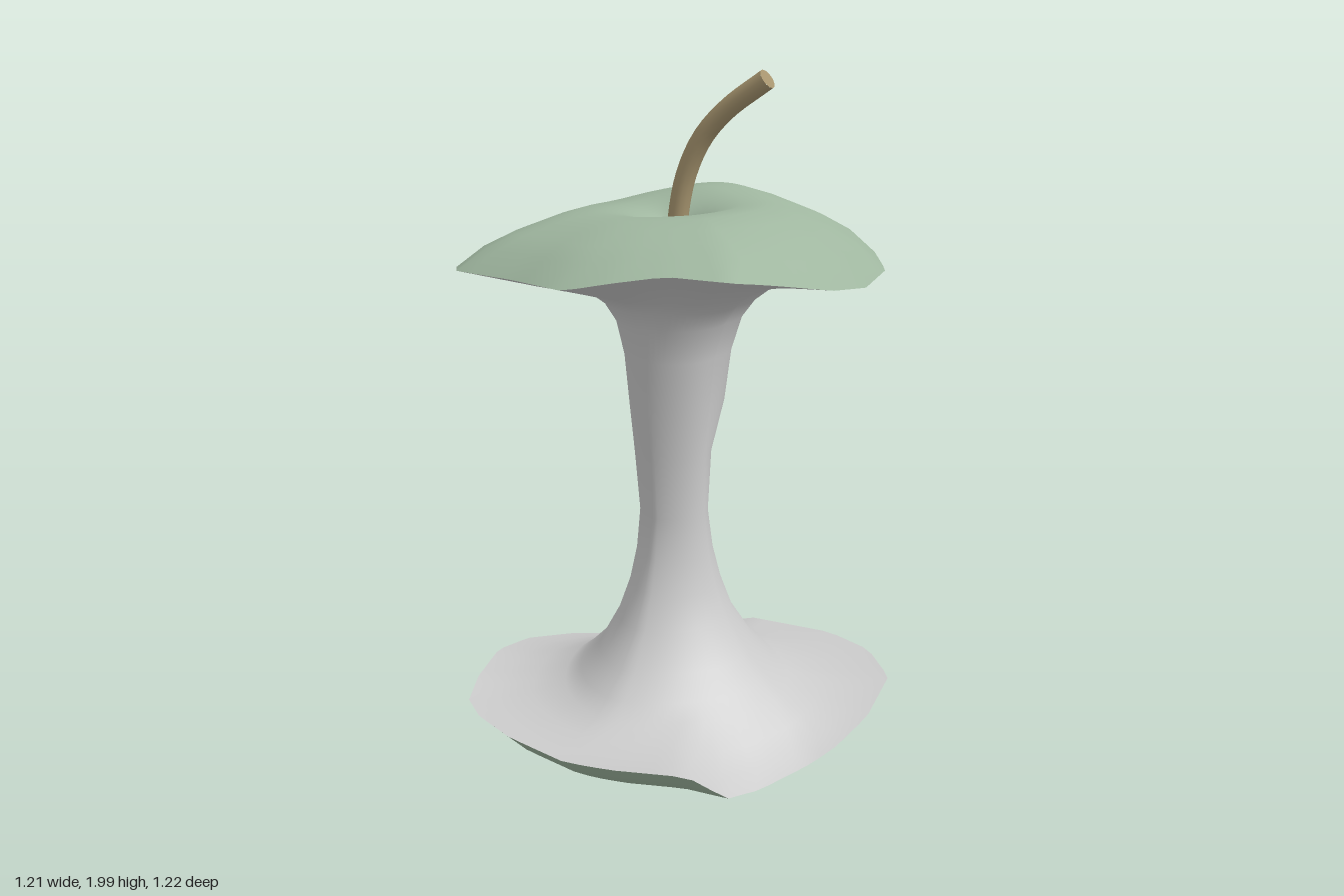
import * as THREE from 'three';

const SEG = 72;
const { lerp, smoothstep } = THREE.MathUtils;

// Jagged bite rims as [x, z, y], ordered by angle around the core
const topRim = [
  [-0.6, -0.02, 1.43], [-0.53, -0.26, 1.38], [-0.5, -0.37, 1.395], [-0.44, -0.46, 1.425],
  [-0.37, -0.5, 1.44], [-0.27, -0.52, 1.455], [-0.2, -0.55, 1.465], [-0.04, -0.61, 1.48],
  [0.07, -0.61, 1.48], [0.25, -0.56, 1.47], [0.43, -0.44, 1.46], [0.54, -0.26, 1.445],
  [0.57, -0.05, 1.435], [0.54, 0.1, 1.45], [0.48, 0.27, 1.485], [0.43, 0.43, 1.515],
  [0.26, 0.485, 1.525], [0.13, 0.545, 1.505], [0.01, 0.575, 1.48], [-0.08, 0.55, 1.48],
  [-0.2, 0.5, 1.475], [-0.43, 0.43, 1.465], [-0.5, 0.34, 1.455], [-0.57, 0.12, 1.435],
];
const bottomRim = [
  [-0.61, -0.1, 0.125], [-0.53, -0.27, 0.095], [-0.43, -0.37, 0.075], [-0.32, -0.45, 0.075],
  [-0.18, -0.51, 0.115], [0, -0.55, 0.16], [0.28, -0.55, 0.17], [0.44, -0.49, 0.17],
  [0.57, -0.34, 0.17], [0.605, -0.09, 0.155], [0.57, 0.05, 0.115], [0.53, 0.12, 0.085],
  [0.45, 0.3, 0.065], [0.41, 0.43, 0.09], [0.385, 0.48, 0.145], [0.34, 0.515, 0.18],
  [0.14, 0.585, 0.18], [0.01, 0.61, 0.18], [-0.2, 0.57, 0.18], [-0.35, 0.51, 0.18],
  [-0.44, 0.44, 0.18], [-0.51, 0.3, 0.18], [-0.595, 0.08, 0.16],
];

// Stalk of the core: y, then reach towards -x, +x, +z, -z
const stalk = [
  [0.2, 0.33, 0.37, 0.38, 0.38], [0.24, 0.28, 0.32, 0.33, 0.34], [0.3, 0.22, 0.26, 0.26, 0.28],
  [0.4, 0.165, 0.19, 0.19, 0.21], [0.5, 0.13, 0.15, 0.145, 0.17], [0.6, 0.11, 0.125, 0.115, 0.14],
  [0.72, 0.1, 0.11, 0.1, 0.12], [0.9, 0.115, 0.11, 0.12, 0.13], [1.05, 0.13, 0.125, 0.14, 0.15],
  [1.2, 0.14, 0.14, 0.165, 0.165], [1.3, 0.165, 0.17, 0.19, 0.185], [1.355, 0.21, 0.21, 0.22, 0.21],
  [1.39, 0.28, 0.25, 0.26, 0.26],
];

// Rim radius and height at angle a, straight between the corners
function rimAt(rim, a) {
  const TAU = Math.PI * 2;
  const angle = p => Math.atan2(p[1], p[0]);
  for (let i = 0; i < rim.length; i++) {
    const p = rim[i], q = rim[(i + 1) % rim.length];
    const span = (angle(q) - angle(p) + TAU) % TAU;
    const off = (a - angle(p) + 2 * TAU) % TAU;
    if (off <= span) {
      const r = (p[0] * q[1] - p[1] * q[0])
        / (Math.cos(a) * (q[1] - p[1]) - Math.sin(a) * (q[0] - p[0]));
      return { r, y: lerp(p[2], q[2], off / span) };
    }
  }
}

// Stalk radius: four soft ridges below, fuller at the back right above
function stalkAt(row, a) {
  const c = Math.cos(a), s = Math.sin(a);
  const r = c * c * (c < 0 ? row[1] : row[2]) + s * s * (s > 0 ? row[3] : row[4]);
  const upper = smoothstep(row[0], 0.8, 1.1);
  const diagonal = lerp(-0.07, 0.04 + 0.12 * Math.cos(a + 0.75), upper);
  return { r: r * (1 + diagonal * Math.abs(Math.sin(2 * a))), y: row[0] };
}

// Surface from closed rings; each ring is a function a -> {r, y}
function loft(name, rings, material) {
  const pos = [], index = [];
  rings.forEach((ring, j) => {
    for (let i = 0; i < SEG; i++) {
      const a = (i / SEG) * Math.PI * 2, { r, y } = ring(a);
      pos.push(r * Math.cos(a), y, r * Math.sin(a));
      if (j === rings.length - 1) continue;
      const p = j * SEG + i, n = j * SEG + (i + 1) % SEG;
      index.push(p, p + SEG, n, n, p + SEG, n + SEG);
    }
  });
  const geo = new THREE.BufferGeometry();
  geo.setAttribute('position', new THREE.Float32BufferAttribute(pos, 3));
  geo.setIndex(index);
  geo.computeVertexNormals();
  const mesh = new THREE.Mesh(geo, material);
  mesh.name = name;
  return mesh;
}

// Ring between two rings, lifted by bulge(a)
const between = (f, g, t, bulge) => a => {
  const p = f(a), q = g(a);
  return { r: lerp(p.r, q.r, t), y: lerp(p.y, q.y, t) + bulge(a) };
};

export function createModel() {
  const group = new THREE.Group();
  const side = THREE.DoubleSide;
  const fleshMat = new THREE.MeshStandardMaterial({ color: 0xcccccc, side });
  const skinMat = new THREE.MeshStandardMaterial({ color: 0x9fb69f, side });
  const stemMat = new THREE.MeshStandardMaterial({ color: 0xa89670 });
  const low = a => rimAt(bottomRim, a), high = a => rimAt(topRim, a);

  // Flesh: lower dish, waisted stalk, flared underside of the cap
  const rows = stalk.map(row => a => stalkAt(row, a));
  const first = rows[0], last = rows[rows.length - 1];
  const sag = () => -0.014;
  const arch = k => a => k * (0.004 + 0.016 * Math.cos(a));
  group.add(loft('flesh', [
    low, between(low, first, 0.3, sag), between(low, first, 0.65, sag),
    ...rows,
    between(last, high, 0.25, arch(1)), between(last, high, 0.5, arch(1)),
    between(last, high, 0.75, arch(0.5)), high,
  ], fleshMat));

  // Top skin: from the rim over the shoulder and into the stem hollow
  const shoulder = [[0.87, 0.4], [0.74, 0.66], [0.6, 0.86], [0.47, 1], [0.34, 1],
    [0.24, 0.94], [0.15, 0.8], [0.09, 0.55], [0.05, 0.3], [0, 0.15]];
  group.add(loft('topSkin', [high, ...shoulder.map(([s, h]) => a => {
    const { r, y } = high(a);
    // The shoulder stands highest at the back
    const tilt = 0.012 * Math.cos(a) + 0.04 * Math.max(0, -Math.sin(a)) ** 3;
    const crest = 1.613 + tilt * smoothstep(s, 0, 0.4);
    // Towards the stem the rings turn round and even
    const base = lerp(1.45, y, smoothstep(s, 0.2, 0.6));
    return { r: s * lerp(0.56, r, smoothstep(s, 0.1, 0.9)), y: lerp(base, crest, h) };
  })], skinMat));

  // Bottom skin: from the blossom dimple out to the lower rim
  const dimple = [[0, 0.1], [0.04, 0.095], [0.08, 0.075], [0.13, 0.04], [0.2, 0.016], [0.29, 0.005]];
  const flare = [[0.4, 0.03], [0.52, 0.09], [0.65, 0.19], [0.78, 0.37], [0.9, 0.65]];
  group.add(loft('bottomSkin', [
    ...dimple.map(([s, y]) => a => ({ r: low(a).r * s, y })),
    ...flare.map(([s, k]) => a => ({ r: low(a).r * s, y: lerp(0.004, low(a).y, k) })),
    low,
  ], skinMat));

  // Stem: bent tube with a flat cut end
  const path = new THREE.CatmullRomCurve3([[0, 1.46], [0.01, 1.6], [0.035, 1.71], [0.085, 1.81],
    [0.16, 1.89], [0.28, 1.974]].map(([x, y]) => new THREE.Vector3(x, y, -0.02)));
  const stem = new THREE.Mesh(new THREE.TubeGeometry(path, 20, 0.029, 12), stemMat);
  stem.name = 'stem';
  const tip = new THREE.Mesh(new THREE.CircleGeometry(0.029, 12), stemMat);
  tip.name = 'stemTip';
  tip.position.copy(path.getPoint(1));
  tip.quaternion.setFromUnitVectors(new THREE.Vector3(0, 0, 1), path.getTangent(1));
  group.add(stem, tip);

  return group;
}
